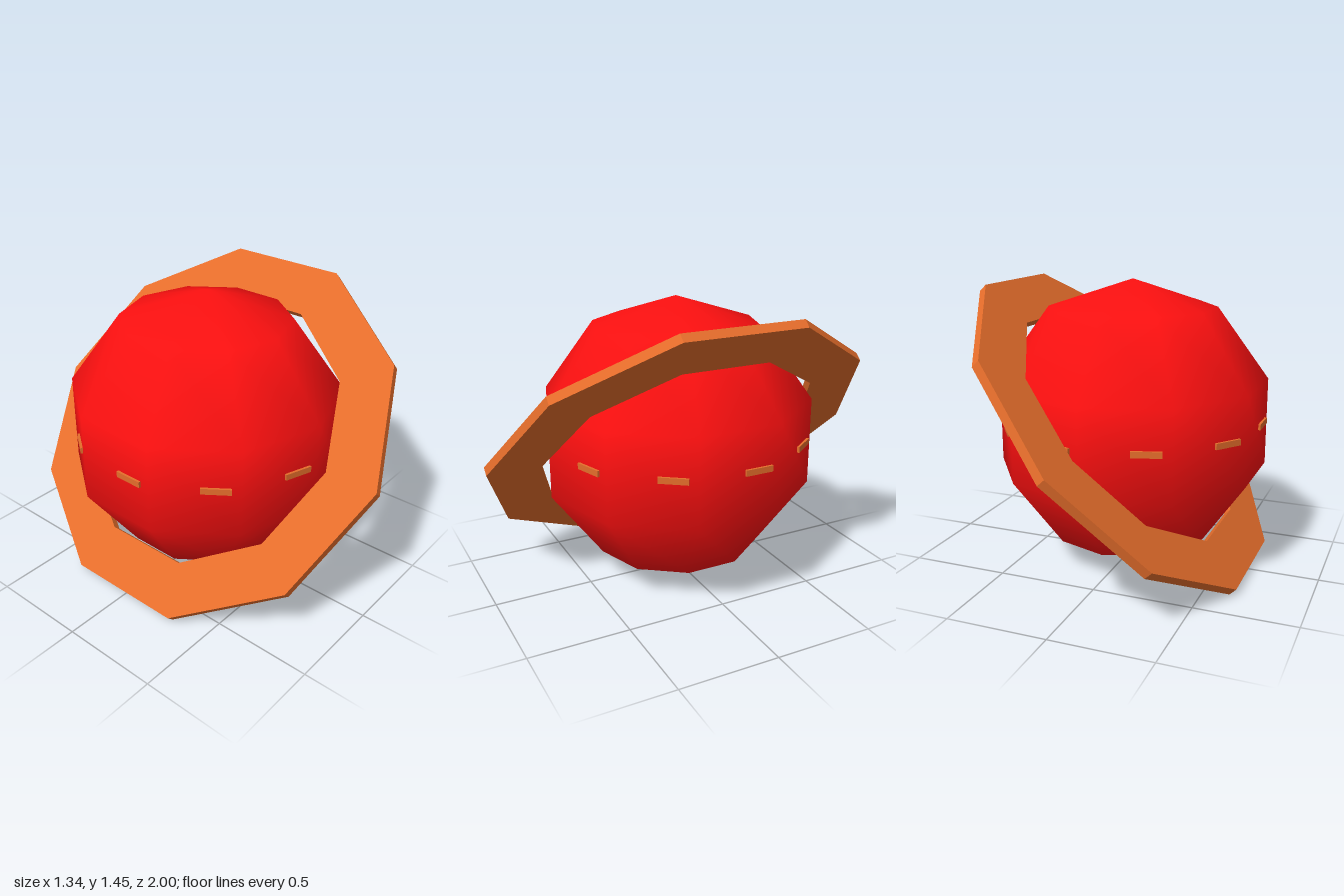
import * as THREE from 'three';

const SIDES = 10;
const R = 0.717; // globe radius

function polygon(PathType, radius) {
  const pts = [];
  for (let i = 0; i < SIDES; i++) {
    const a = (i / SIDES) * Math.PI * 2;
    pts.push(new THREE.Vector2(radius * Math.cos(a), radius * Math.sin(a)));
  }
  return new PathType(pts);
}

export function createModel() {
  const model = new THREE.Group();
  model.name = 'ringedPlanet';
  const red = new THREE.MeshStandardMaterial({ color: 0xff1010 });
  const orange = new THREE.MeshStandardMaterial({ color: 0xe56d2b, flatShading: true });

  // Low-poly globe with smooth normals, corners on the z axis
  const planet = new THREE.Group();
  planet.name = 'planet';
  planet.position.set(-0.012, 0.732, 0);
  const globe = new THREE.Mesh(new THREE.SphereGeometry(R, SIDES, 5).rotateY(Math.PI / 2), red);
  globe.name = 'globe';
  planet.add(globe);

  // Thin dashes lying on each equatorial facet, shifted along it
  const apothem = R * Math.sin(Math.PI * 0.4) * Math.cos(Math.PI / SIDES);
  const dashGeometry = new THREE.BoxGeometry(0.142, 0.03, 0.03).translate(0.095, 0.016, apothem - 0.003);
  for (let i = 0; i < SIDES; i++) {
    const dash = new THREE.Mesh(dashGeometry, orange);
    dash.name = 'equatorDash' + (i + 1);
    dash.rotation.y = ((i + 0.5) / SIDES) * Math.PI * 2;
    planet.add(dash);
  }
  model.add(planet);

  // Flat ten-sided ring, tilted up towards +x
  const thickness = 0.046;
  const shape = polygon(THREE.Shape, 1);
  shape.holes.push(polygon(THREE.Path, 0.73));
  const ringGeometry = new THREE.ExtrudeGeometry(shape, { depth: thickness, bevelEnabled: false })
    .translate(0, 0, -thickness / 2)
    .rotateY(Math.PI / 2)
    .rotateZ(THREE.MathUtils.degToRad(-43));
  const ring = new THREE.Mesh(ringGeometry, orange);
  ring.name = 'ring';
  ring.position.set(0.005, 0.712, 0);
  model.add(ring);

  return model;
}
